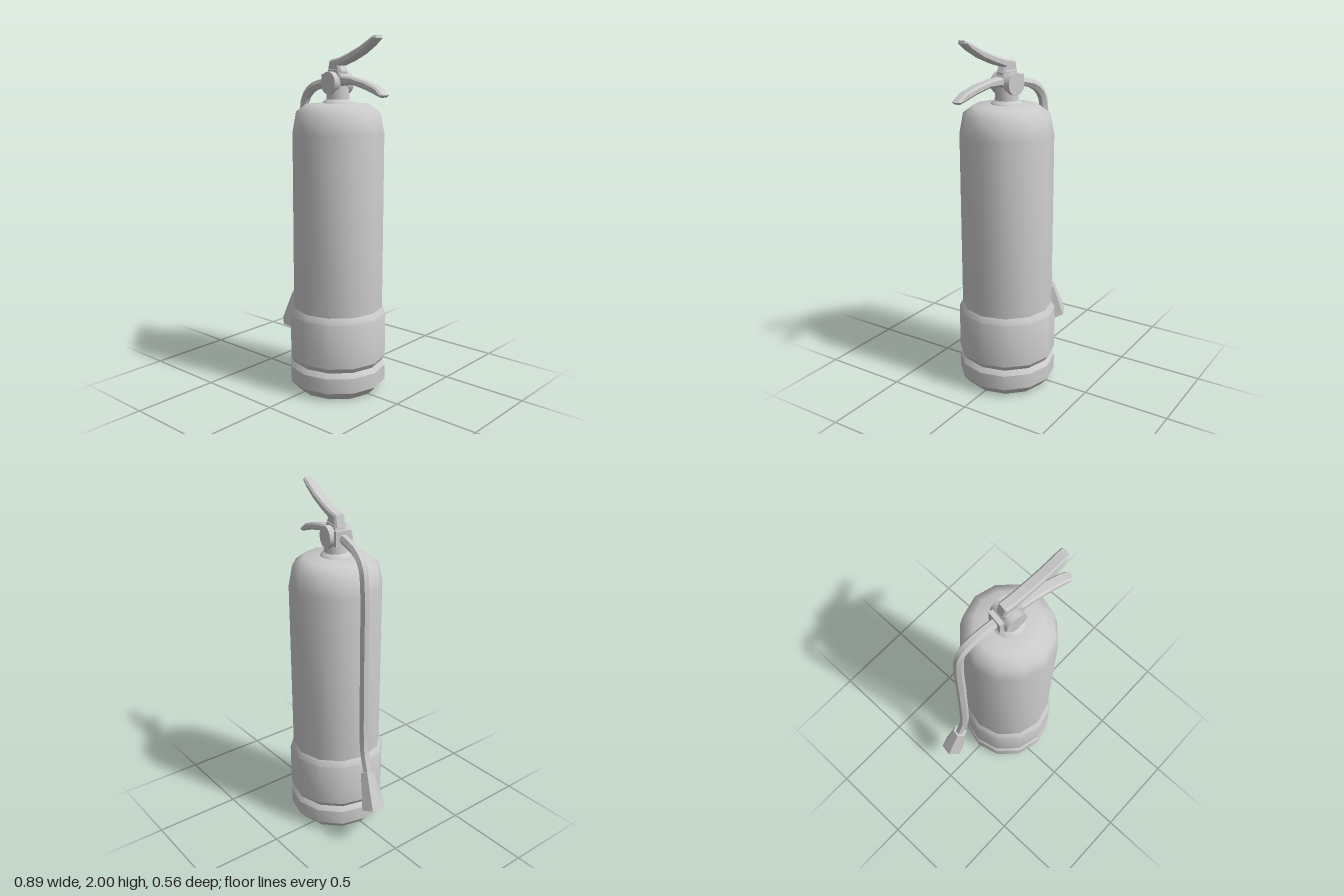
import * as THREE from 'three';
import { toCreasedNormals } from 'three/addons/utils/BufferGeometryUtils.js';

const material = new THREE.MeshStandardMaterial({ color: 0xcccccc });

function addPart(parent, name, geometry, crease = 0.6) {
  const mesh = new THREE.Mesh(toCreasedNormals(geometry, crease), material);
  mesh.name = name;
  parent.add(mesh);
  return mesh;
}

// Twelve-sided turned part from [radius, height] pairs, bottom to top
function lathe(profile) {
  return new THREE.LatheGeometry(profile.map(([r, y]) => new THREE.Vector2(r, y)), 12);
}

// Side outline given a width across z, with chamfered edges
function plate(outline, width, bevel) {
  const shape = new THREE.Shape(outline.map(([x, y]) => new THREE.Vector2(x, y)));
  const geometry = new THREE.ExtrudeGeometry(shape, {
    depth: width - 2 * bevel, bevelEnabled: true, bevelSegments: 1,
    bevelSize: bevel, bevelThickness: bevel, bevelOffset: -bevel,
  });
  return geometry.translate(0, 0, bevel - width / 2);
}

export function createModel() {
  const model = new THREE.Group();
  model.name = 'fireExtinguisher';

  // Tank and the stepped sleeve around its foot
  const tank = new THREE.Group();
  tank.name = 'tank';
  tank.position.x = 0.06;
  model.add(tank);
  addPart(tank, 'cylinderBody', lathe([
    [0.26, 0.45], [0.26, 1.48], [0.238, 1.595], [0.18, 1.638], [0.085, 1.645],
  ]), 0.9);
  addPart(tank, 'neck', lathe([[0.09, 1.64], [0.085, 1.65], [0.065, 1.665], [0.058, 1.76], [0, 1.76]]));
  addPart(tank, 'baseSleeve', lathe([
    [0, 0], [0.235, 0], [0.28, 0.05], [0.28, 0.137], [0.26, 0.165],
    [0.28, 0.195], [0.28, 0.45], [0.26, 0.485],
  ]), 0.53);

  // Valve, levers and hose lie in one plane turned slightly about the tank axis
  const head = new THREE.Group();
  head.name = 'head';
  head.position.x = 0.06;
  head.rotation.y = -0.17;
  model.add(head);

  const drum = new THREE.CylinderGeometry(0.062, 0.062, 0.136, 12).rotateX(Math.PI / 2);
  addPart(head, 'valveDrum', drum.translate(-0.005, 1.753, 0));
  addPart(head, 'valveBlock', plate([
    [-0.06, 1.72], [0.05, 1.72], [0.06, 1.79], [0.04, 1.83], [-0.05, 1.83],
  ], 0.07, 0.008));
  addPart(head, 'hoseCollar', new THREE.BoxGeometry(0.026, 0.085, 0.09).translate(-0.078, 1.757, 0));

  // Levers
  addPart(head, 'upperLever', plate([
    [-0.06, 1.81], [0.05, 1.79], [0.055, 1.815], [0.038, 1.845], [0.12, 1.87], [0.21, 1.906],
    [0.285, 1.948], [0.333, 1.984], [0.328, 2.0], [0.305, 1.997], [0.2, 1.945],
    [0.11, 1.912], [0.03, 1.888], [-0.045, 1.876],
  ], 0.062, 0.01));
  addPart(head, 'lowerLever', plate([
    [0.02, 1.72], [0.07, 1.745], [0.15, 1.745], [0.25, 1.722], [0.37, 1.685],
    [0.387, 1.698], [0.33, 1.738], [0.24, 1.767], [0.13, 1.787], [0.03, 1.795],
  ], 0.06, 0.01));

  // Hose
  const path = new THREE.CatmullRomCurve3([
    [-0.07, 1.757], [-0.15, 1.745], [-0.235, 1.718], [-0.295, 1.66], [-0.315, 1.56],
    [-0.322, 1.1], [-0.332, 0.62], [-0.345, 0.55], [-0.38, 0.455],
  ].map(([x, y]) => new THREE.Vector3(x, y, 0)), false, 'centripetal');
  addPart(head, 'hose', new THREE.TubeGeometry(path, 32, 0.027, 6, false));

  // Flared nozzle, tilted outward
  const nozzle = addPart(head, 'nozzle', new THREE.CylinderGeometry(0.042, 0.07, 0.22, 6));
  nozzle.position.set(-0.409, 0.363, 0);
  nozzle.rotation.z = -0.33;

  return model;
}
